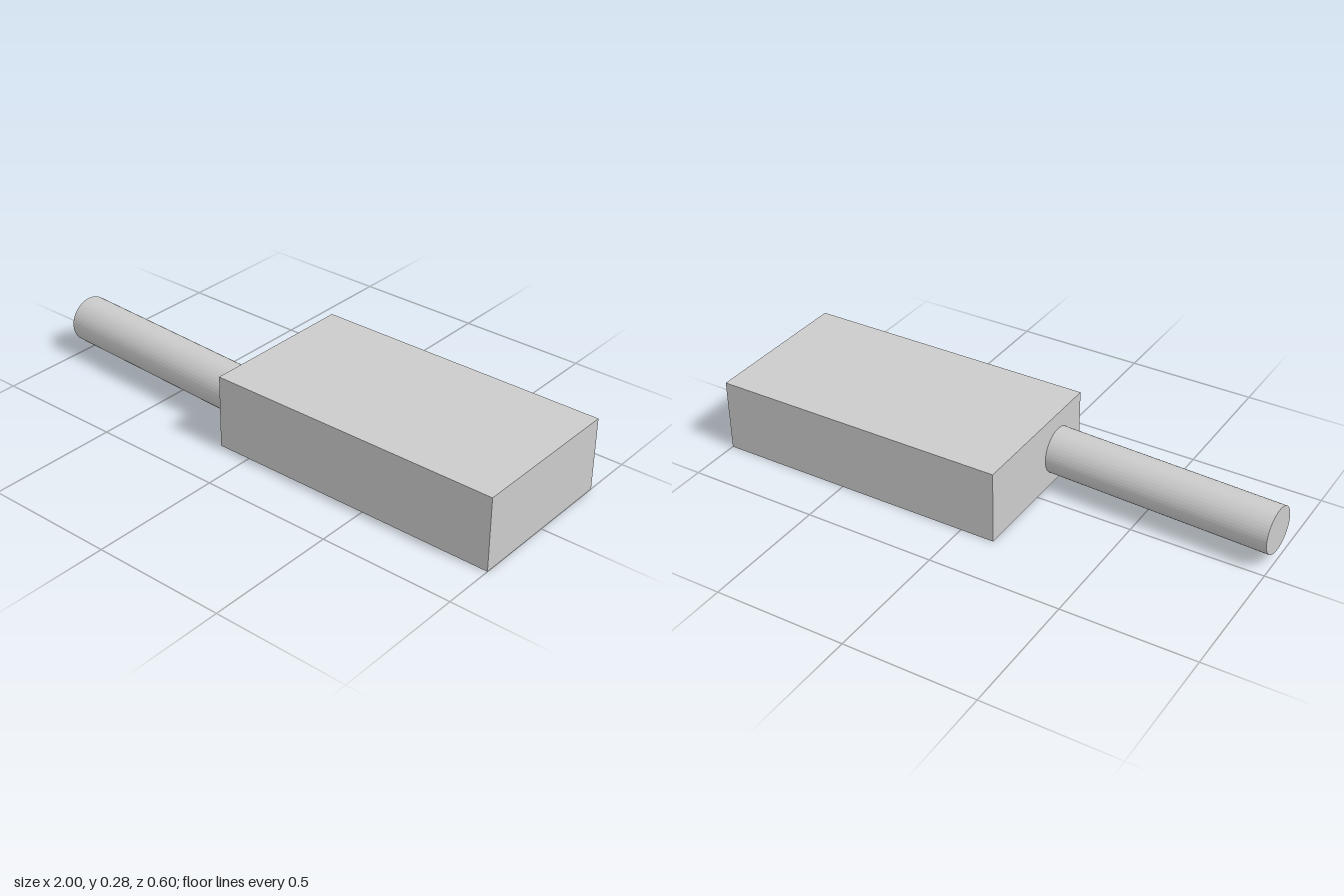
import * as THREE from 'three';

export function createModel() {
  const model = new THREE.Group();
  const material = new THREE.MeshStandardMaterial({ color: 0xcccccc, flatShading: true });

  // Rectangular block
  const block = new THREE.Mesh(new THREE.BoxGeometry(1.13, 0.277, 0.604), material);
  block.name = 'block';
  block.position.set(0.435, 0.1385, 0);
  model.add(block);

  // Round handle, slightly skewed, its end just entering the block
  const start = new THREE.Vector3(-0.996, 0.125, 0.098);
  const end = new THREE.Vector3(-0.12, 0.125, 0.141);
  const axis = end.clone().sub(start);
  const handle = new THREE.Mesh(
    new THREE.CylinderGeometry(0.0875, 0.0875, axis.length(), 48), material);
  handle.name = 'handle';
  handle.position.copy(start).add(end).multiplyScalar(0.5);
  handle.quaternion.setFromUnitVectors(new THREE.Vector3(0, 1, 0), axis.normalize());
  model.add(handle);

  return model;
}
